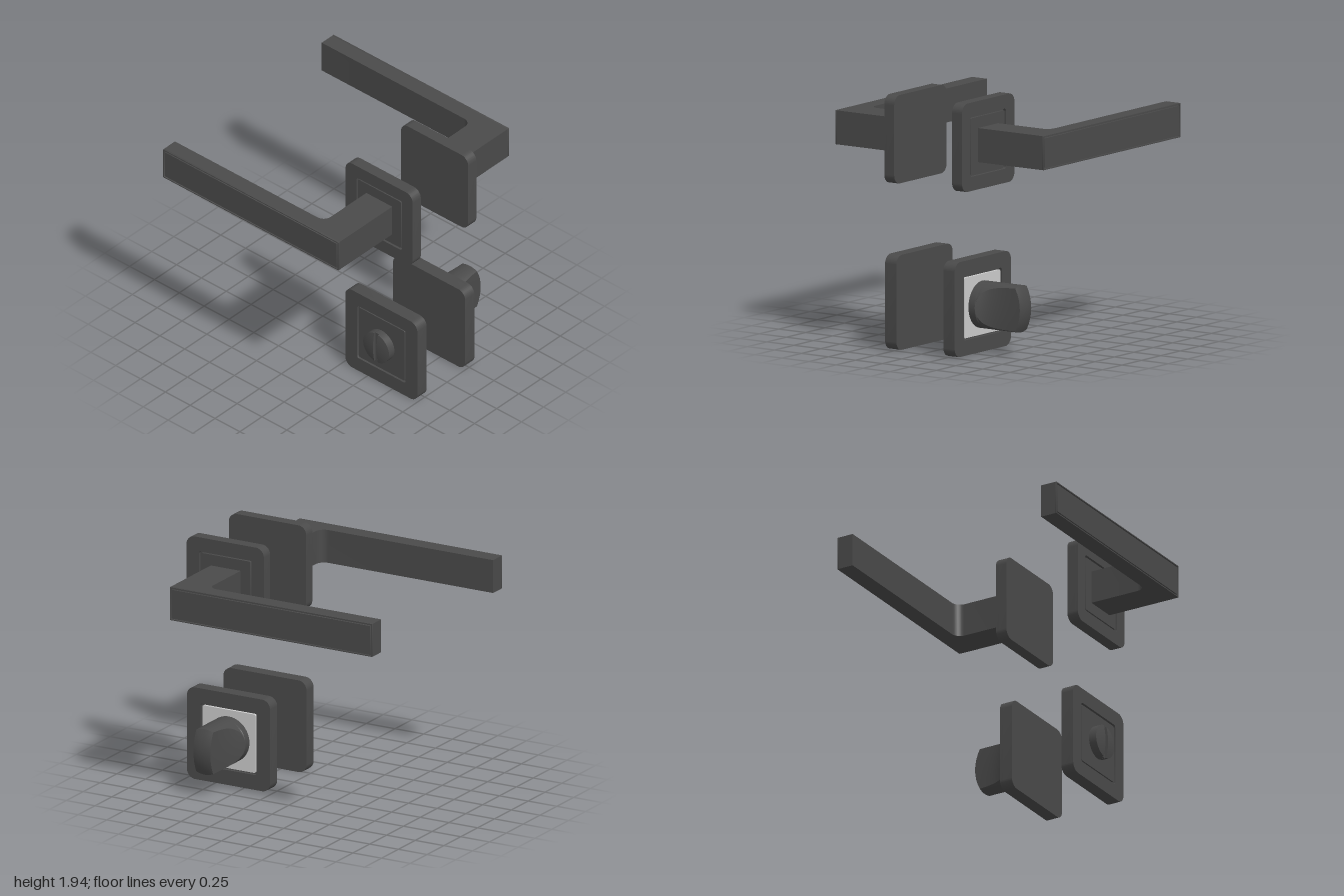
import * as THREE from 'three';
import { toCreasedNormals } from 'three/addons/utils/BufferGeometryUtils.js';

const dark = new THREE.MeshStandardMaterial({ color: 0x4a4a4a });
const grey = new THREE.MeshStandardMaterial({ color: 0xcccccc });

function add(parent, name, geometry, material = dark) {
  const mesh = new THREE.Mesh(toCreasedNormals(geometry, 0.5), material);
  mesh.name = name;
  parent.add(mesh);
  return mesh;
}

// Rounded rectangle outline, centred on (cx, 0)
function roundRect(w, h, r, cx = 0, Type = THREE.Shape) {
  const s = new Type();
  const x = w / 2 - r, y = h / 2 - r;
  s.absarc(cx + x, y, r, 0, Math.PI / 2);
  s.absarc(cx - x, y, r, Math.PI / 2, Math.PI);
  s.absarc(cx - x, -y, r, Math.PI, Math.PI * 1.5);
  s.absarc(cx + x, -y, r, Math.PI * 1.5, Math.PI * 2);
  s.closePath();
  return s;
}

// Straight extrusion between two depths
function slab(shape, z0, z1) {
  return new THREE.ExtrudeGeometry(shape, { depth: z1 - z0, bevelEnabled: false, curveSegments: 10 })
    .translate(0, 0, z0);
}

// Prism whose section may change with height t, closed by a shallow dome
function domedPrism(section, top, anchorX, steps) {
  const rings = [];
  for (let i = 0; i <= steps; i++) {
    const t = i / steps;
    rings.push(section(t).map(([x, y]) => [x, y, t * top(x, y)]));
  }
  const end = section(1);
  for (let i = 5; i >= 0; i--) {
    const s = i / 6;
    rings.push(end.map(([x, y]) => {
      const px = anchorX + (x - anchorX) * s, py = y * s;
      return [px, py, top(px, py)];
    }));
  }
  const n = end.length, index = [];
  for (let i = 0; i < rings.length - 1; i++) {
    for (let j = 0; j < n; j++) {
      const a = i * n + j, b = i * n + (j + 1) % n;
      index.push(a, b, b + n, a, b + n, a + n);
    }
  }
  const g = new THREE.BufferGeometry();
  g.setAttribute('position', new THREE.Float32BufferAttribute(rings.flat(2), 3));
  g.setIndex(index);
  return g;
}

// Arc points followed by the straight run to the next arc
function arcPoints(r, a0, a1, count) {
  return Array.from({ length: count + 1 }, (_, i) => {
    const a = a0 + (a1 - a0) * i / count;
    return [r * Math.cos(a), r * Math.sin(a)];
  });
}
function linePoints(x, y0, y1, count) {
  return Array.from({ length: count - 1 }, (_, i) => [x, y0 + (y1 - y0) * (i + 1) / count]);
}

// Square cover plate with a grooved centre panel; its face lies at z = 0
function coverPlate(size, depth, opening, panelMaterial) {
  const g = new THREE.Group();
  g.name = 'coverPlate';
  const frame = roundRect(size, size, 0.07);
  frame.holes.push(roundRect(opening, opening, 0.02, 0, THREE.Path));
  add(g, 'plateFrame', slab(frame, -0.025, 0));
  add(g, 'plateBase', slab(roundRect(size, size, 0.07), -depth, -0.025));
  const inner = opening - 0.028;
  add(g, 'centrePanel', slab(roundRect(inner, inner, 0.012), -0.025, -0.004), panelMaterial);
  return g;
}

// L-shaped lever with a grooved border on its outer face
function lever() {
  const g = new THREE.Group();
  g.name = 'leverHandle';
  const left = -1.6375, right = 0.1275, neck = -0.1325;
  const height = 0.26, inside = 0.47, seat = 0.59, outer = 0.605, r = 0.07;
  const s = new THREE.Shape();
  s.moveTo(neck, -0.02);
  s.lineTo(right, -0.02);
  s.lineTo(right, seat);
  s.lineTo(left, seat);
  s.lineTo(left, inside);
  s.lineTo(neck - r, inside);
  s.absarc(neck - r, inside - r, r, Math.PI / 2, 0, true);
  s.closePath();
  add(g, 'leverBody', slab(s, -height / 2, height / 2).rotateX(Math.PI / 2));

  const length = right - left, cx = (left + right) / 2;
  const rim = roundRect(length, height, 0.001, cx);
  rim.holes.push(roundRect(length - 0.016, height - 0.016, 0.001, cx, THREE.Path));
  add(g, 'leverRim', slab(rim, seat, outer));
  add(g, 'leverFace', slab(roundRect(length - 0.036, height - 0.036, 0.001, cx), seat, outer));
  return g;
}

// Round privacy release: two domed halves either side of a slot
function releaseButton() {
  const g = new THREE.Group();
  g.name = 'releaseButton';
  const r = 0.13, gap = 0.018, a = Math.acos(gap / r), y = r * Math.sin(a);
  const half = [...arcPoints(r, -a, a, 24), ...linePoints(gap, y, -y, 8)];
  const top = (x, y) => 0.075 - 0.015 * (x * x + y * y) / (r * r);
  const geometry = domedPrism(() => half, top, gap, 2);
  add(g, 'buttonHalf', geometry);
  add(g, 'buttonHalf', geometry).rotation.z = Math.PI;
  add(g, 'slotFloor', new THREE.CylinderGeometry(r - 0.002, r - 0.002, 0.06, 48)
    .rotateX(Math.PI / 2).translate(0, 0, 0.015));
  return g;
}

// Thumb turn: round at the base, pinched to a blade by concave side cuts
function thumbTurn() {
  const r = 0.18, length = 0.41;
  const top = (x, y) => length - 0.05 * (x * x + y * y) / (r * r);
  const section = (t) => {
    const w = Math.min(r, 0.07 + 0.11 * Math.exp(-(t * length - 0.07) / 0.1));
    const a = Math.acos(w / r), y = r * Math.sin(a);
    return [
      ...arcPoints(r, a, Math.PI - a, 24), ...linePoints(-w, y, -y, 8),
      ...arcPoints(r, Math.PI + a, 2 * Math.PI - a, 24), ...linePoints(w, -y, y, 8),
    ];
  };
  const geometry = domedPrism(section, top, 0, 30);
  geometry.translate(0, 0, -0.006);
  return geometry;
}

export function createModel() {
  const model = new THREE.Group();
  model.name = 'doorHandleSet';

  // Lever sets on both faces of the door
  for (const side of [1, -1]) {
    const set = new THREE.Group();
    set.name = side > 0 ? 'frontLeverSet' : 'backLeverSet';
    set.add(coverPlate(0.675, 0.092, 0.46, dark), lever());
    set.position.set(0.6375, 1.6, side * 0.36);
    if (side < 0) set.rotation.x = Math.PI;
    model.add(set);
  }

  // Privacy release in front
  const release = new THREE.Group();
  release.name = 'frontPrivacySet';
  release.add(coverPlate(0.725, 0.105, 0.49, dark), releaseButton());
  release.position.set(0.6375, 0.3625, 0.335);
  model.add(release);

  // Thumb turn behind
  const turn = new THREE.Group();
  turn.name = 'backPrivacySet';
  turn.add(coverPlate(0.725, 0.105, 0.49, grey));
  add(turn, 'thumbTurn', thumbTurn());
  turn.position.set(0.6375, 0.3625, -0.31);
  turn.rotation.x = Math.PI;
  model.add(turn);

  return model;
}
